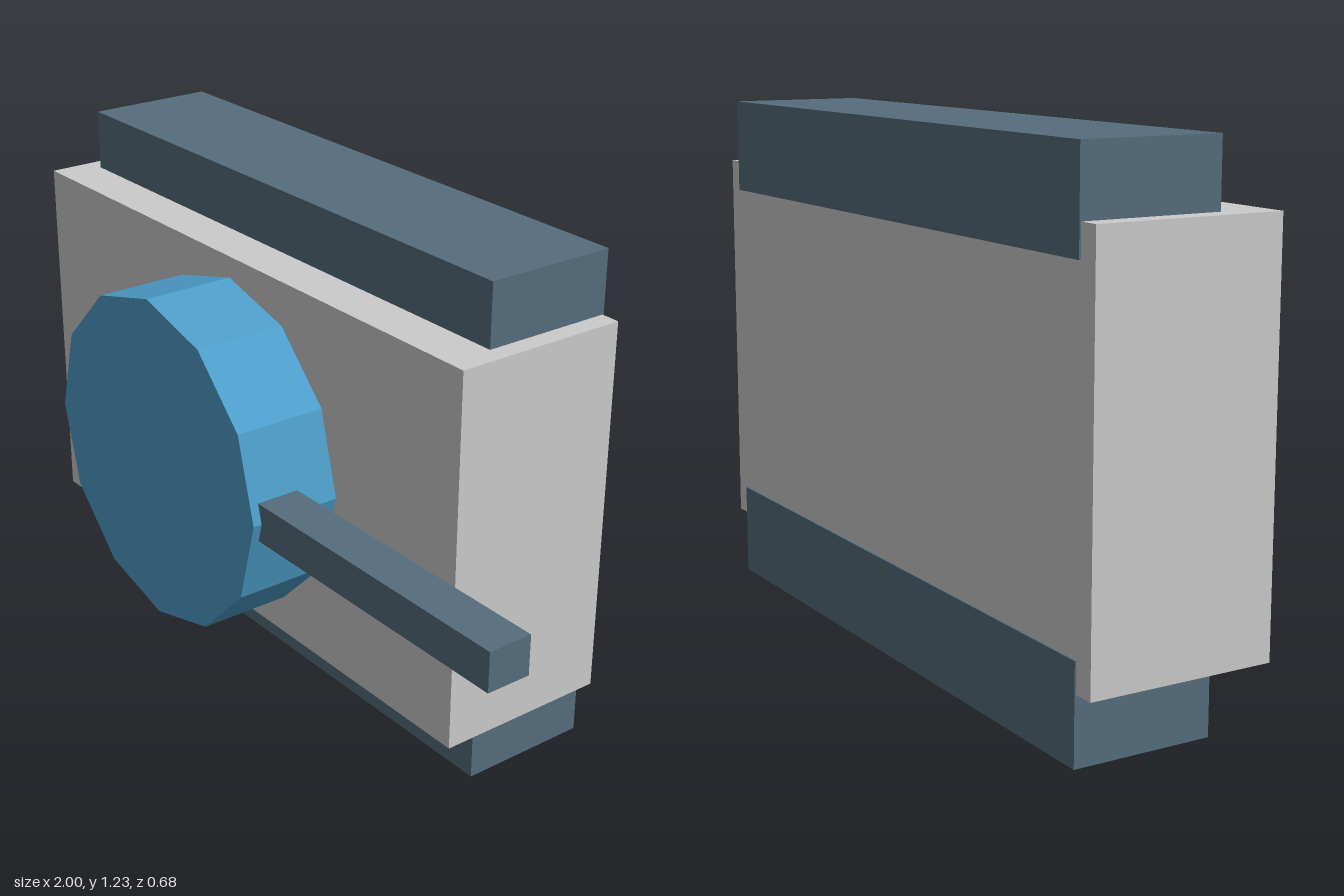
import * as THREE from 'three';

const grey = new THREE.MeshStandardMaterial({ color: 0xcccccc, flatShading: true });
const slate = new THREE.MeshStandardMaterial({ color: 0x566d7d, flatShading: true });
const blue = new THREE.MeshStandardMaterial({ color: 0x4d9dca, flatShading: true });

// Box given by its extents along each axis
function box(name, material, [x0, x1], [y0, y1], [z0, z1]) {
  const mesh = new THREE.Mesh(new THREE.BoxGeometry(x1 - x0, y1 - y0, z1 - z0), material);
  mesh.position.set((x0 + x1) / 2, (y0 + y1) / 2, (z0 + z1) / 2);
  mesh.name = name;
  return mesh;
}

export function createModel() {
  const model = new THREE.Group();
  model.name = 'leverBlock';

  // Main block
  model.add(box('body', grey, [-1, 0.653], [0.154, 1.079], [-0.337, 0.104]));

  // Rails overlapping the lower and upper edges, just proud of the back
  model.add(box('bottomRail', slate, [-0.951, 0.605], [0, 0.224], [-0.341, -0.011]));
  model.add(box('topRail', slate, [-0.951, 0.605], [1.007, 1.231], [-0.341, -0.011]));

  // Twelve-sided dial facing forward
  const dial = new THREE.Mesh(new THREE.CylinderGeometry(0.414, 0.414, 0.231, 12), blue);
  dial.rotation.x = Math.PI / 2;
  dial.position.set(-0.173, 0.616, 0.2255);
  dial.name = 'dial';
  model.add(dial);

  // Handle sticking out of the dial's side
  model.add(box('handle', slate, [0.2, 1], [0.569, 0.664], [0.211, 0.319]));

  return model;
}
